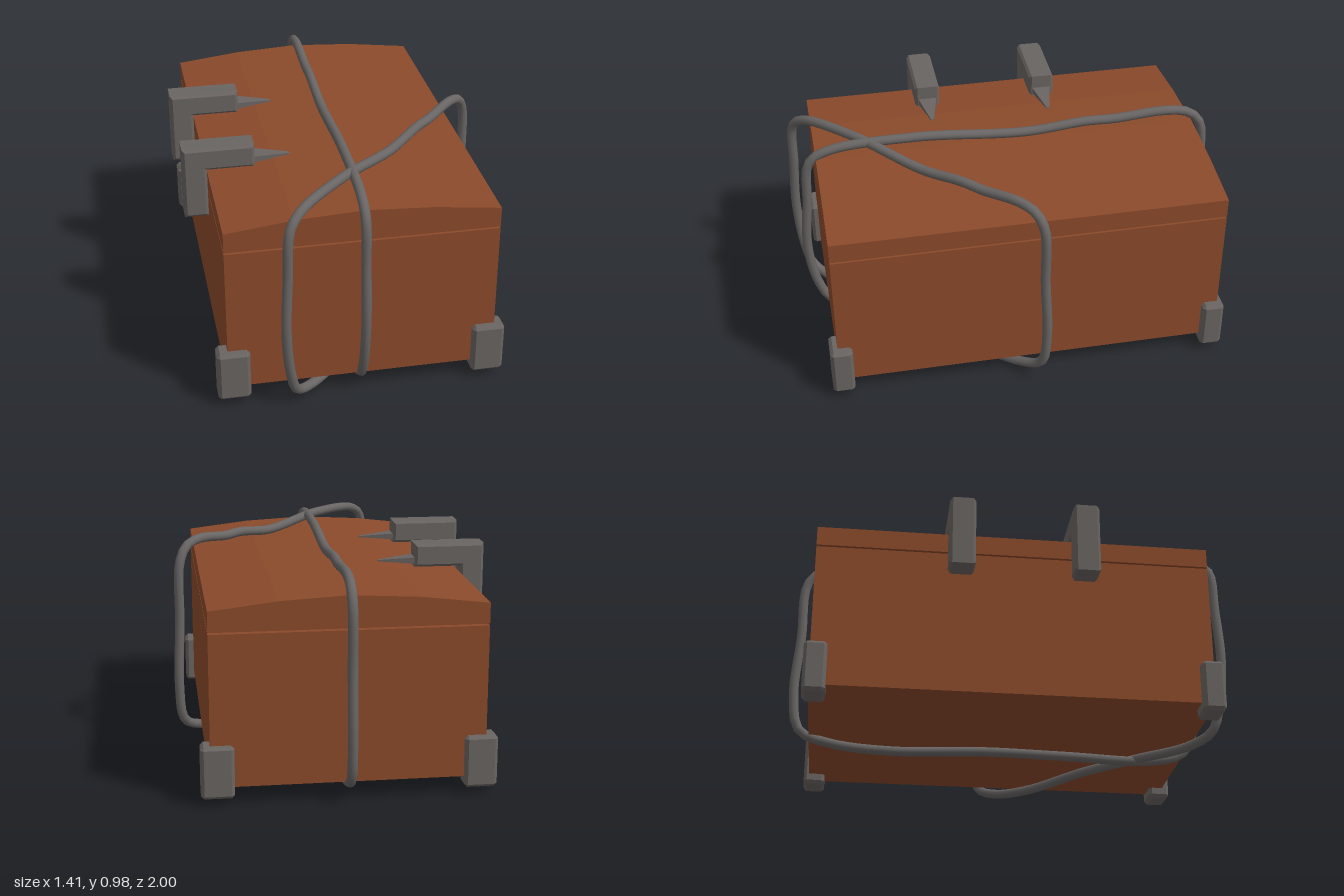
import * as THREE from 'three';
import { ConvexGeometry } from 'three/addons/geometries/ConvexGeometry.js';

const wood = new THREE.MeshStandardMaterial({ color: 0x8b4a2b });
wood.name = 'brown wood';
const metal = new THREE.MeshStandardMaterial({ color: 0x696462 });
metal.name = 'grey metal';
const cord = new THREE.MeshStandardMaterial({ color: 0x686564 });
cord.name = 'grey rope';

function add(parent, name, geometry, material) {
  const mesh = new THREE.Mesh(geometry, material);
  mesh.name = name;
  parent.add(mesh);
  return mesh;
}

// Block with flat chamfered edges
function chamferBox(w, h, d, b) {
  const pts = [];
  for (const x of [-1, 1]) for (const y of [-1, 1]) for (const z of [-1, 1]) {
    const [X, Y, Z] = [x * w / 2, y * h / 2, z * d / 2];
    pts.push(
      new THREE.Vector3(X, Y - y * b, Z - z * b),
      new THREE.Vector3(X - x * b, Y, Z - z * b),
      new THREE.Vector3(X - x * b, Y - y * b, Z));
  }
  return new ConvexGeometry(pts);
}

// Extrude an outline along z, centred on z = 0, bevel kept inside the depth
function extrude(points, depth, bevel = 0) {
  const shape = new THREE.Shape(points.map(([x, y]) => new THREE.Vector2(x, y)));
  const g = new THREE.ExtrudeGeometry(shape, {
    depth: depth - 2 * bevel, bevelEnabled: bevel > 0, bevelSize: bevel,
    bevelThickness: bevel, bevelOffset: -bevel, bevelSegments: 1,
  });
  return g.translate(0, 0, bevel - depth / 2);
}

// Slack rope loop, [across, height]
const LOOP = [
  [-0.33, 0.88], [-0.345, 0.66], [-0.355, 0.39], [-0.335, 0.17], [-0.305, 0.07], [-0.225, 0.03],
  [0, 0.035], [0.2, 0.04], [0.44, 0.024], [0.59, 0.05], [0.665, 0.105], [0.685, 0.28],
  [0.675, 0.58], [0.668, 0.865], [0.635, 0.935], [0.575, 0.958], [0.44, 0.943], [0.365, 0.945],
  [0.21, 0.922], [0, 0.95], [-0.06, 0.955], [-0.275, 0.935],
];

function ropeLoop(place) {
  const curve = new THREE.CatmullRomCurve3(
    LOOP.map(([t, y]) => new THREE.Vector3(...place(t, y))), true, 'centripetal');
  return new THREE.TubeGeometry(curve, 110, 0.022, 12, true);
}

export function createModel() {
  const model = new THREE.Group();
  model.name = 'chest';

  // Wooden body and arched lid, with a narrow gap between
  const midZ = -0.0125, length = 1.765;
  add(model, 'body', new THREE.BoxGeometry(1.18, 0.667, length), wood).position.set(-0.005, 0.4135, midZ);
  add(model, 'lid', extrude([
    [-0.595, 0.755], [0.585, 0.755], [0.585, 0.845], [0.29, 0.88],
    [-0.005, 0.896], [-0.3, 0.88], [-0.595, 0.845],
  ], length), wood).position.z = midZ;

  // Corner feet
  for (const x of [-0.572, 0.555]) for (const z of [-0.87, 0.855]) {
    add(model, 'cornerFoot', chamferBox(0.143, 0.232, 0.1, 0.014), metal).position.set(x, 0.15, z);
  }

  // Hinges with a tapered strap lying on the lid
  for (const z of [-0.255, 0.302]) {
    const hinge = new THREE.Group();
    hinge.name = 'hinge';
    hinge.position.z = z;
    add(hinge, 'hingeBracket', extrude([
      [-0.705, 0.645], [-0.598, 0.645], [-0.598, 0.872], [-0.387, 0.872],
      [-0.387, 0.977], [-0.705, 0.977],
    ], 0.117, 0.012), metal);
    const strap = [];
    for (const [x, y, h, w] of [[-0.395, 0.9, 0.015, 0.045], [-0.225, 0.896, 0.003, 0.007]]) {
      for (const s of [-1, 1]) for (const t of [-1, 1]) {
        strap.push(new THREE.Vector3(x, y + s * h, t * w));
      }
    }
    add(hinge, 'hingeStrap', new ConvexGeometry(strap), metal);
    model.add(hinge);
  }

  // One rope runs lengthwise, the other cuts diagonally across the front corner
  add(model, 'lengthwiseRope', ropeLoop((t, y) => [-0.007, y, 0.945 - (t + 0.355) * 1.846]), cord);
  add(model, 'diagonalRope', ropeLoop((t, y) => [t, y, 0.62 - t]), cord);

  return model;
}
